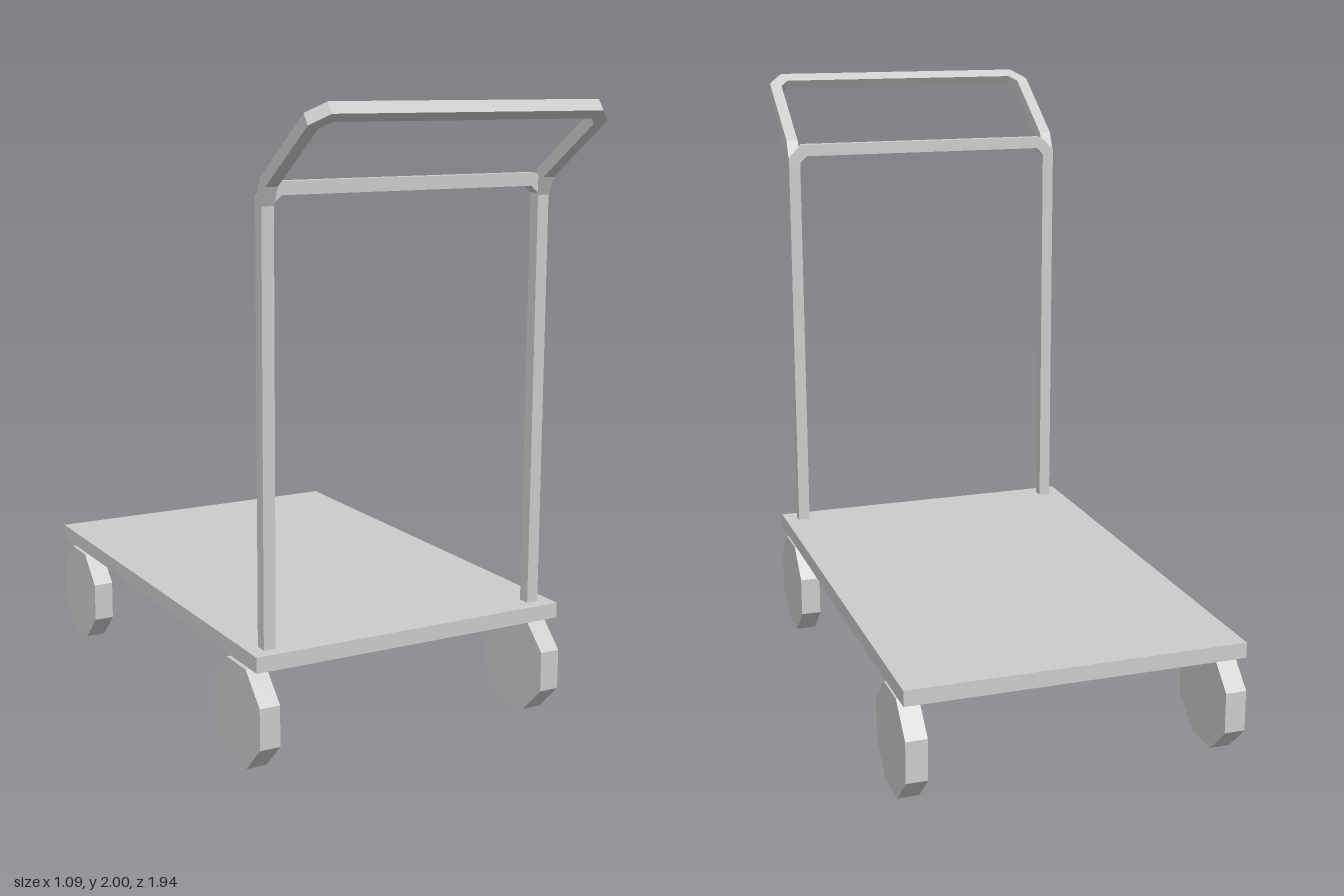
import * as THREE from 'three';

const material = new THREE.MeshStandardMaterial({ color: 0xcccccc, flatShading: true });

function addMesh(parent, name, geometry, x = 0, y = 0, z = 0) {
  const mesh = new THREE.Mesh(geometry, material);
  mesh.name = name;
  mesh.position.set(x, y, z);
  parent.add(mesh);
  return mesh;
}

// Square bar along a path that starts upward, with mitred corners:
// each ring is the previous one slid along the bar onto the mitre plane.
function mitredBar(path, half) {
  const pts = path.map(p => new THREE.Vector3(...p));
  const dirs = pts.slice(1).map((p, i) => p.clone().sub(pts[i]).normalize());
  let ring = [[1, 1], [-1, 1], [-1, -1], [1, -1]].map(([w, u]) =>
    new THREE.Vector3(u * half, 0, w * half).add(pts[0]));
  const rings = [ring];
  for (let i = 1; i < pts.length; i++) {
    const d = dirs[i - 1];
    const normal = d.clone().add(dirs[i] ?? d).normalize();
    ring = ring.map(v => v.clone().addScaledVector(d,
      pts[i].clone().sub(v).dot(normal) / d.dot(normal)));
    rings.push(ring);
  }
  const index = [];
  for (let r = 0; r < rings.length - 1; r++) {
    for (let k = 0; k < 4; k++) {
      const a = r * 4 + k, b = r * 4 + (k + 1) % 4;
      index.push(a, b, b + 4, a, b + 4, a + 4);
    }
  }
  const e = (rings.length - 1) * 4;
  index.push(0, 2, 1, 0, 3, 2, e, e + 1, e + 2, e, e + 2, e + 3);
  const geometry = new THREE.BufferGeometry();
  geometry.setAttribute('position', new THREE.Float32BufferAttribute(
    rings.flat().flatMap(v => v.toArray()), 3));
  geometry.setIndex(index);
  const flat = geometry.toNonIndexed();
  flat.computeVertexNormals();
  return flat;
}

// Completes a half path with its mirror image across x = 0
const mirrored = half => [...half, ...half.slice().reverse().map(([x, y, z]) => [-x, y, z])];

export function createModel() {
  const cart = new THREE.Group();
  cart.name = 'platformCart';

  // Load deck
  addMesh(cart, 'deck', new THREE.BoxGeometry(1.09, 0.05, 1.65), 0, 0.355, -0.135);

  // Octagonal wheels, resting on a flat side
  const wheel = new THREE.CylinderGeometry(0.172, 0.172, 0.068, 8);
  wheel.rotateY(Math.PI / 8);
  wheel.rotateZ(Math.PI / 2);
  for (const [end, z] of [['front', 0.548], ['back', -0.811]]) {
    for (const [side, x] of [['Left', 0.51], ['Right', -0.51]]) {
      addMesh(cart, end + side + 'Wheel', wheel, x, 0.159, z);
    }
  }

  // Posts bending forward into the tilted push handle
  addMesh(cart, 'handleFrame', mitredBar(mirrored([
    [0.479, 0.37, 0.626],
    [0.479, 1.705, 0.626],
    [0.479, 1.77, 0.655],
    [0.479, 1.946, 0.906],
    [0.44, 1.97, 0.94],
  ]), 0.02));

  // Crossbar between the posts, with cut corners
  addMesh(cart, 'crossbar', mitredBar(mirrored([
    [0.479, 1.69, 0.625],
    [0.479, 1.716, 0.625],
    [0.441, 1.75, 0.625],
  ]), 0.02));

  return cart;
}
